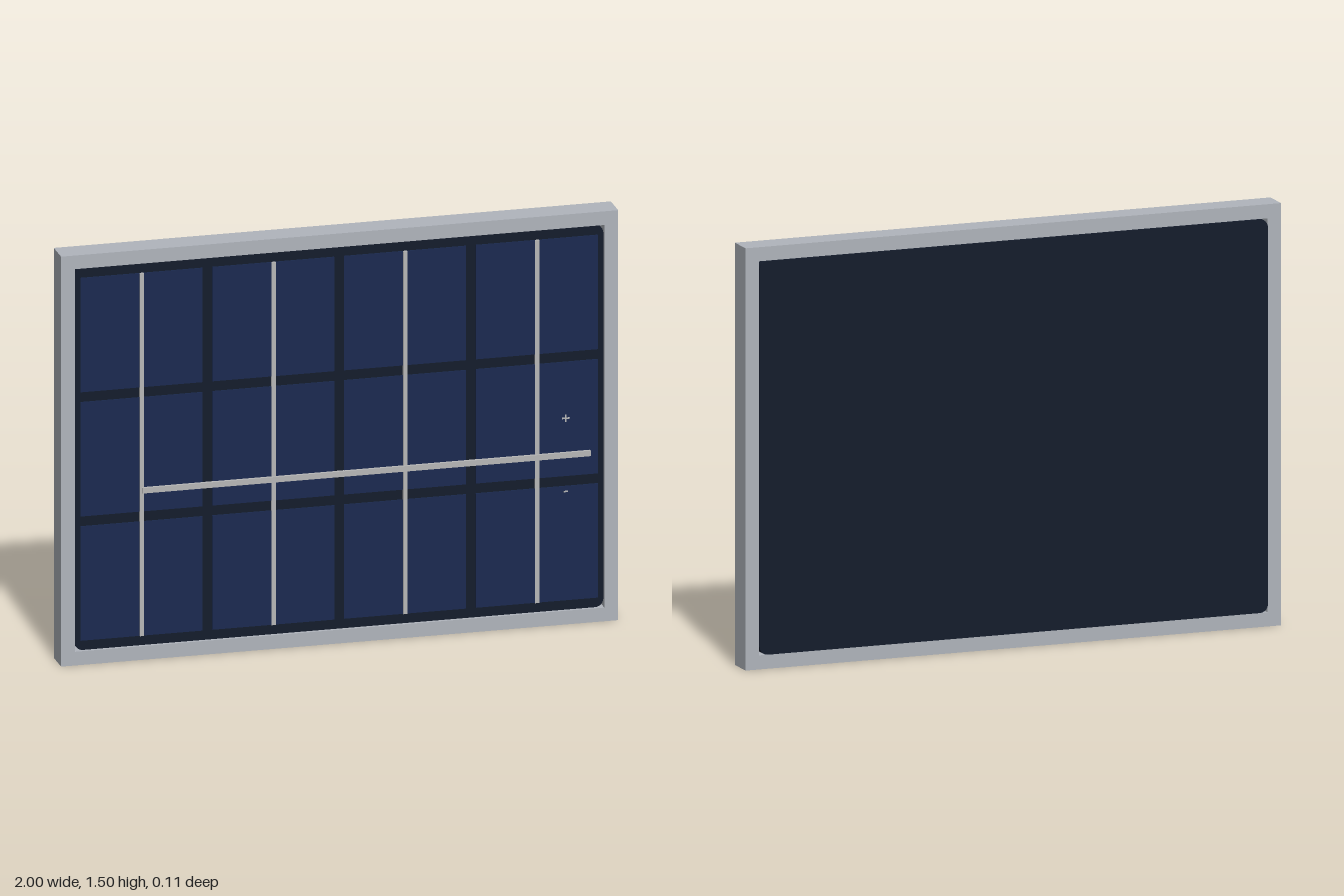
import * as THREE from 'three';

const frameMat = new THREE.MeshStandardMaterial({ color: 0xb0b5bc });
const panelMat = new THREE.MeshStandardMaterial({ color: 0x141c2c });
const cellMat = new THREE.MeshStandardMaterial({ color: 0x1b2a50 });
const metalMat = new THREE.MeshStandardMaterial({ color: 0xb8b8b8 });

const W = 2, H = 1.5, RIM = 0.05, MID = H / 2;

function roundedRect(w, h, r) {
  const x = w / 2, y = h / 2, s = new THREE.Shape();
  s.absarc(x - r, y - r, r, 0, Math.PI / 2);
  s.absarc(-x + r, y - r, r, Math.PI / 2, Math.PI);
  s.absarc(-x + r, -y + r, r, Math.PI, Math.PI * 1.5);
  s.absarc(x - r, -y + r, r, Math.PI * 1.5, Math.PI * 2);
  s.closePath();
  return s;
}

function rectPath(PathType, w, h) {
  const x = w / 2, y = h / 2;
  return new PathType([[-x, -y], [x, -y], [x, y], [-x, y]].map(p => new THREE.Vector2(...p)));
}

export function createModel() {
  const model = new THREE.Group();
  model.name = 'solarPanel';

  const add = (name, geometry, material, x, y, z) => {
    const mesh = new THREE.Mesh(geometry, material);
    mesh.name = name;
    mesh.position.set(x, y, z);
    model.add(mesh);
  };
  // Box placed by its centre in x and y and by its back and front in z
  const slab = (name, material, x, y, w, h, back, front) =>
    add(name, new THREE.BoxGeometry(w, h, front - back), material, x, y, (back + front) / 2);

  // Frame: rectangular ring, open through the middle
  const ring = rectPath(THREE.Shape, W, H);
  ring.holes.push(rectPath(THREE.Path, W - 2 * RIM, H - 2 * RIM));
  add('frame', new THREE.ExtrudeGeometry(ring, { depth: 0.1, bevelEnabled: false }), frameMat, 0, MID, -0.05);

  // Backing board with rounded corners, slightly proud at the back
  const board = roundedRect(W - 2 * RIM - 0.002, H - 2 * RIM - 0.002, 0.03);
  add('backingBoard',
    new THREE.ExtrudeGeometry(board, { depth: 0.095, bevelEnabled: false, curveSegments: 6 }),
    panelMat, 0, MID, -0.055);

  // Four columns of three cells, one vertical busbar on each column
  for (let col = 0; col < 4; col++) {
    const x = (col - 1.5) * 0.473;
    for (let row = -1; row <= 1; row++) {
      slab('cell', cellMat, x, MID + row * 0.4545, 0.438, 0.418, 0.039, 0.044);
    }
    slab('verticalBusbar', metalMat, x, MID, 0.015, 1.327, 0.039, 0.049);
  }

  // Horizontal collector bar
  slab('collectorBar', metalMat, 0.095, 0.62, 1.61, 0.02, 0.043, 0.055);

  // Terminal marks
  slab('positiveMark', metalMat, 0.813, 0.753, 0.028, 0.005, 0.043, 0.046);
  slab('positiveMark', metalMat, 0.813, 0.753, 0.005, 0.028, 0.043, 0.0461);
  slab('negativeMark', metalMat, 0.813, 0.485, 0.015, 0.005, 0.043, 0.046);

  return model;
}
